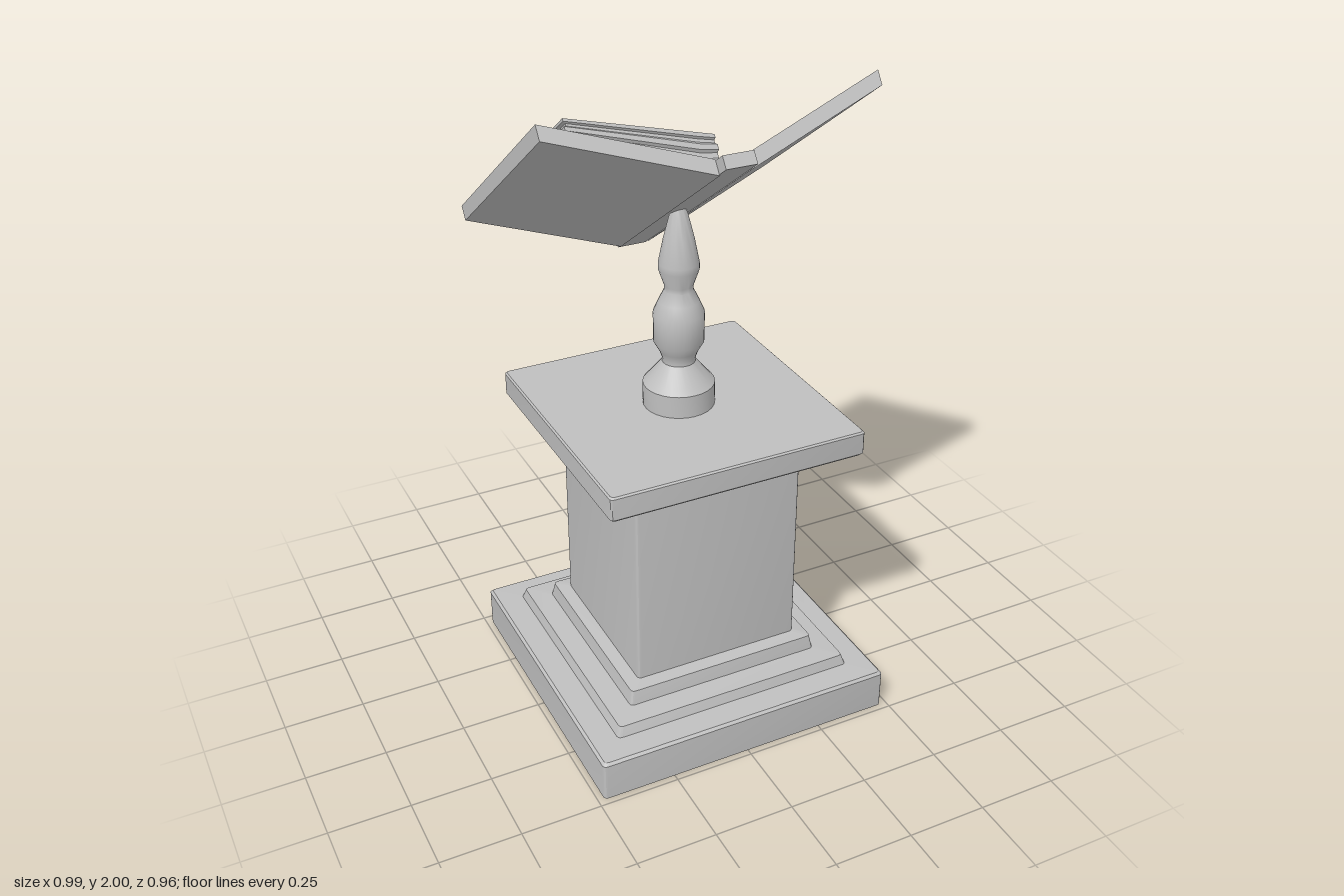
import * as THREE from 'three';
import { toCreasedNormals } from 'three/addons/utils/BufferGeometryUtils.js';

const stone = new THREE.MeshStandardMaterial({ color: 0xbfbfbf, side: THREE.DoubleSide });
stone.name = 'grey stone';

function part(name, geometry, parent) {
  const mesh = new THREE.Mesh(geometry, stone);
  mesh.name = name;
  parent.add(mesh);
  return mesh;
}

// Skin a stack of rings (counter-clockwise from above); optional top centre closes it
function loft(rings, crease, top) {
  const n = rings[0].length, pos = [], idx = [];
  rings.forEach(r => r.forEach(p => pos.push(...p)));
  for (let i = 0; i < rings.length - 1; i++) {
    for (let j = 0; j < n; j++) {
      const k = (j + 1) % n, a = i * n + j, b = i * n + k;
      idx.push(a, b, b + n, a, b + n, a + n);
    }
  }
  if (top) {
    const base = (rings.length - 1) * n, c = rings.length * n;
    pos.push(...top);
    for (let j = 0; j < n; j++) idx.push(c, base + j, base + (j + 1) % n);
  }
  const g = new THREE.BufferGeometry();
  g.setAttribute('position', new THREE.Float32BufferAttribute(pos, 3));
  g.setIndex(idx);
  return toCreasedNormals(g, crease);
}

// Square ring with slightly rounded corners
function squareRing(half, y, r = 0.012) {
  const pts = [];
  for (let q = 0; q < 4; q++) {
    for (let s = 0; s <= 3; s++) {
      const a = (q + s / 3) * Math.PI / 2;
      const sx = q === 0 || q === 3 ? 1 : -1, sz = q < 2 ? 1 : -1;
      pts.push([sx * (half - r) + r * Math.cos(a), y, -sz * (half - r) - r * Math.sin(a)]);
    }
  }
  return pts;
}

// Rectangle path in the book plane: x across, v along the slope
function rect(path, x0, x1, v0, v1) {
  path.moveTo(x0, -v0);
  path.lineTo(x1, -v0);
  path.lineTo(x1, -v1);
  path.lineTo(x0, -v1);
  path.closePath();
  return path;
}

const SPINE = 0.045, SLOPE = 0.363;

// Plate that rises away from the spine
function wingPlate(shape, y0, depth) {
  const g = new THREE.ExtrudeGeometry(shape, { depth, bevelEnabled: false });
  g.rotateX(-Math.PI / 2);
  const p = g.attributes.position;
  for (let i = 0; i < p.count; i++) {
    p.setY(i, p.getY(i) + y0 + SLOPE * (Math.abs(p.getX(i)) - SPINE));
  }
  g.computeVertexNormals();
  return g;
}

// Page block ring: t runs from the cover (0) to the top page (1)
function pageRing(t, inset) {
  const height = x => {
    const low = 1.325 + SLOPE * Math.max(0, -x - SPINE);
    const high = 1.427 - 0.262 * x;
    return low + (high - low) * t;
  };
  const x0 = -0.405 + inset, x1 = 0.005 - inset * 0.3;
  const v0 = 0.615 + inset, v1 = 1.268 - inset;
  const xs = [x1, -SPINE, x0];
  return [
    ...xs.map(x => [x, height(x), v0]),
    ...xs.slice().reverse().map(x => [x, height(x), v1]),
  ];
}

// Gently domed top page
function topPage() {
  const N = 10, g = new THREE.PlaneGeometry(2, 2, N, N);
  g.rotateX(-Math.PI / 2);
  const p = g.attributes.position;
  for (let i = 0; i < p.count; i++) {
    const a = p.getX(i), b = p.getZ(i);
    const x = -0.2 + a * 0.198;
    p.setXYZ(i, x, 1.427 - 0.262 * x + 0.012 * (1 - a * a) * (1 - b * b), 0.9415 + b * 0.3185);
  }
  g.computeVertexNormals();
  return g;
}

export function createModel() {
  const model = new THREE.Group();
  model.name = 'lectern with open book';

  // Hollow stepped pedestal, open underneath
  const profile = [
    [0.48, 0.005], [0.48, 0.122], [0.472, 0.13], [0.395, 0.133], [0.385, 0.165],
    [0.318, 0.17], [0.31, 0.215], [0.27, 0.222], [0.27, 0.872], [0.318, 0.875],
    [0.325, 0.905], [0.335, 0.911], [0.4, 0.912], [0.405, 0.918], [0.405, 0.985], [0.4, 0.99],
  ];
  profile[0][1] = 0;
  part('pedestal', loft(profile.map(([h, y]) => squareRing(h, y)), 0.5, [0, 0.99, 0]), model);

  // Turned stem
  const stem = [
    [0.108, 0.99], [0.108, 1.06], [0.095, 1.075], [0.05, 1.13], [0.05, 1.142], [0.058, 1.165],
    [0.075, 1.195], [0.076, 1.288], [0.06, 1.325], [0.043, 1.36], [0.043, 1.375],
    [0.06, 1.425], [0.06, 1.445], [0.045, 1.52], [0.026, 1.595], [0.018, 1.615], [0, 1.62],
  ].map(([r, y]) => new THREE.Vector2(r, y));
  part('stem', toCreasedNormals(new THREE.LatheGeometry(stem, 28), 0.6), model);

  // Book, sloping down toward the back: local y is out of the page, z is along the slope
  const book = new THREE.Group();
  book.name = 'book';
  book.rotation.x = -0.616;
  model.add(book);

  const spine = part('spine', new THREE.BoxGeometry(2 * SPINE + 0.002, 0.038, 0.842), book);
  spine.position.set(0, 1.324, 0.949);

  // Covers: a slab with a raised border round a recessed panel
  for (const [side, s] of [['left', 1], ['right', -1]]) {
    const slab = rect(new THREE.Shape(), s * SPINE, s * 0.496, 0.55, 1.325);
    part(side + 'Cover', wingPlate(slab, 1.302, 0.028), book);
    const border = rect(new THREE.Shape(), s * SPINE, s * 0.496, 0.55, 1.325);
    border.holes.push(rect(new THREE.Path(), s * 0.077, s * 0.462, 0.583, 1.285));
    part(side + 'CoverBorder', wingPlate(border, 1.33, 0.016), book);
  }

  // Pages with grooved edges
  const layers = [
    [0, 0], [0.3, 0], [0.38, 0.014], [0.52, 0.014], [0.58, 0.006],
    [0.72, 0.006], [0.78, 0.014], [0.86, 0.014], [0.9, 0.007], [1, 0.007],
  ];
  part('pageBlock', loft(layers.map(([t, i]) => pageRing(t, i)), 0.3), book);
  part('topPage', topPage(), book);

  return model;
}
